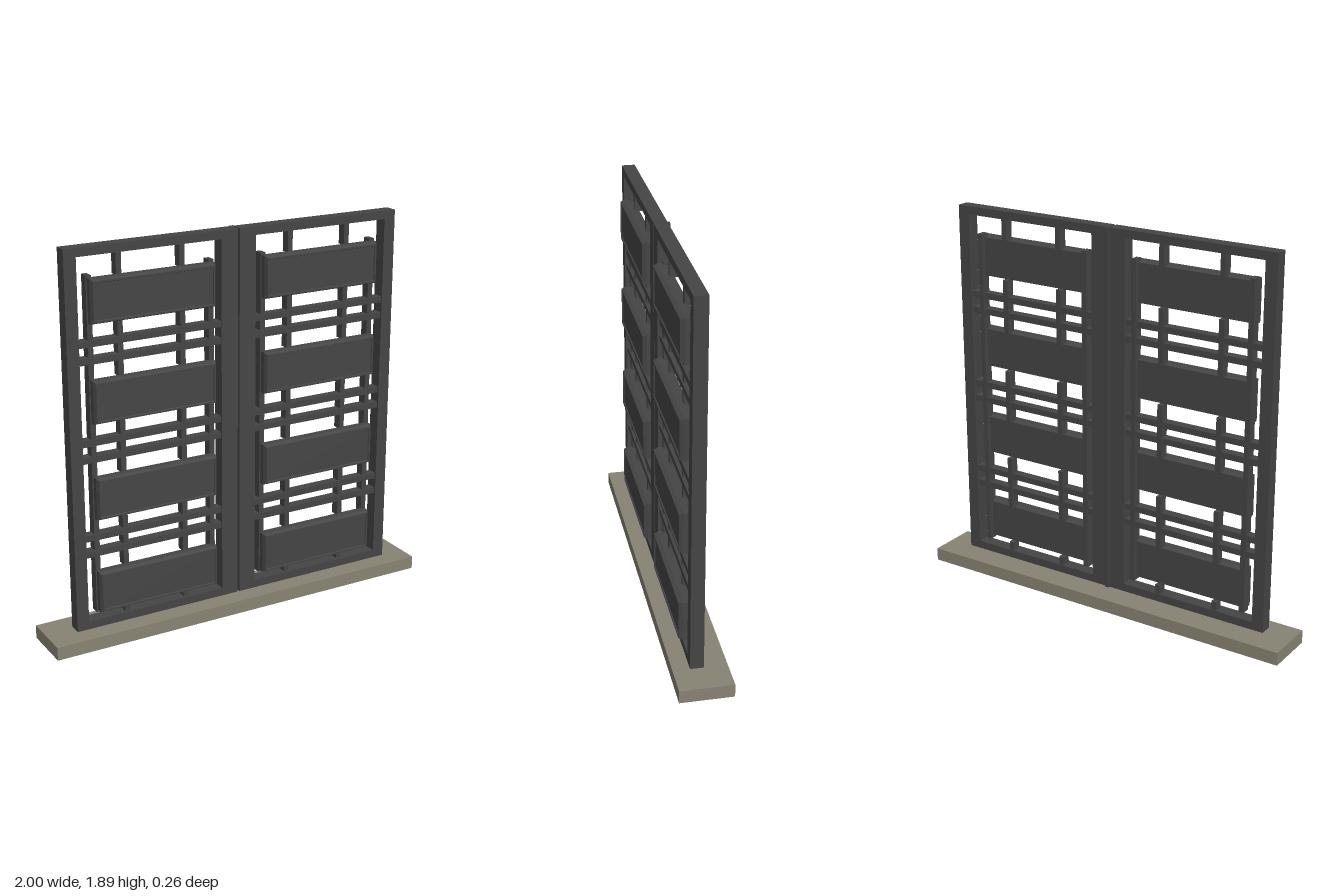
import * as THREE from 'three';

const iron = new THREE.MeshStandardMaterial({ color: 0x454546 });
iron.name = 'dark iron';
const stone = new THREE.MeshStandardMaterial({ color: 0x888373 });
stone.name = 'stone';

// Box given by its limits on each axis
function box(parent, name, [x0, x1], [y0, y1], [z0, z1], material = iron) {
  const mesh = new THREE.Mesh(new THREE.BoxGeometry(x1 - x0, y1 - y0, z1 - z0), material);
  mesh.position.set((x0 + x1) / 2, (y0 + y1) / 2, (z0 + z1) / 2);
  mesh.name = name;
  parent.add(mesh);
  return mesh;
}

function rectangle(target, w, h) {
  target.moveTo(-w / 2, -h / 2);
  target.lineTo(w / 2, -h / 2);
  target.lineTo(w / 2, h / 2);
  target.lineTo(-w / 2, h / 2);
  target.closePath();
  return target;
}

// Solid panel with a sloped moulding round its front face
function createPanel(y) {
  const panel = new THREE.Group();
  panel.name = 'panel';
  box(panel, 'panelBoard', [-0.305, 0.305], [-0.1, 0.1], [0.01, 0.074]);
  const shape = rectangle(new THREE.Shape(), 0.604, 0.188);
  shape.holes.push(rectangle(new THREE.Path(), 0.588, 0.172));
  const moulding = new THREE.Mesh(new THREE.ExtrudeGeometry(shape, {
    depth: 0.03, bevelEnabled: true, bevelThickness: 0.02, bevelSize: 0.008, bevelSegments: 1,
  }), iron);
  moulding.position.z = 0.03;
  moulding.name = 'panelMoulding';
  panel.add(moulding);
  // Trim the board so the sloped edge of the moulding stays visible
  panel.children[0].scale.set(0.98, 0.94, 1);
  panel.position.set(0.44, y, 0);
  return panel;
}

function createLeaf(side) {
  const leaf = new THREE.Group();
  leaf.name = side > 0 ? 'leftLeaf' : 'rightLeaf';
  const depth = [-0.014, 0.05];

  // Outer frame
  box(leaf, 'innerStile', [0.005, 0.091], [0.075, 1.89], depth);
  box(leaf, 'outerStile', [0.804, 0.863], [0.075, 1.89], depth);
  box(leaf, 'topRail', [0.091, 0.804], [1.85, 1.89], depth);
  box(leaf, 'bottomRail', [0.091, 0.804], [0.075, 0.115], depth);

  // Panels
  const panelY = [0.257, 0.722, 1.185, 1.648];
  panelY.forEach((y) => leaf.add(createPanel(y)));

  // Paired crossbars between the panels
  for (const y of [0.488, 0.95, 1.413]) {
    for (const dy of [-0.04, 0.04]) {
      box(leaf, 'crossbar', [0.091, 0.804], [y + dy - 0.015, y + dy + 0.015], [-0.005, 0.042]);
    }
  }

  // Full-height side posts carrying the panels
  for (const x of [0.137, 0.743]) {
    box(leaf, 'sidePost', [x - 0.013, x + 0.013], [0.145, 1.76], [-0.01, 0.035]);
  }

  // Short posts between panels and frame
  const stops = [[0.115, 0.16], [0.354, 0.625], [0.819, 1.088], [1.282, 1.551], [1.745, 1.85]];
  for (const x of [0.284, 0.597]) {
    for (const span of stops) {
      box(leaf, 'shortPost', [x - 0.013, x + 0.013], span, [-0.01, 0.035]);
    }
  }

  // The leaf is symmetric front to side, so place mirrored parts at -x
  if (side < 0) {
    leaf.children.forEach((part) => { part.position.x *= -1; });
  }
  return leaf;
}

export function createModel() {
  const gate = new THREE.Group();
  gate.name = 'doubleGate';
  box(gate, 'plinth', [-1, 1], [0, 0.065], [-0.128, 0.128], stone);
  gate.add(createLeaf(1), createLeaf(-1));

  // Cover strip over the seam between the leaves
  box(gate, 'seamStrip', [-0.01, 0.01], [0.075, 1.89], [-0.024, -0.01]);
  return gate;
}
